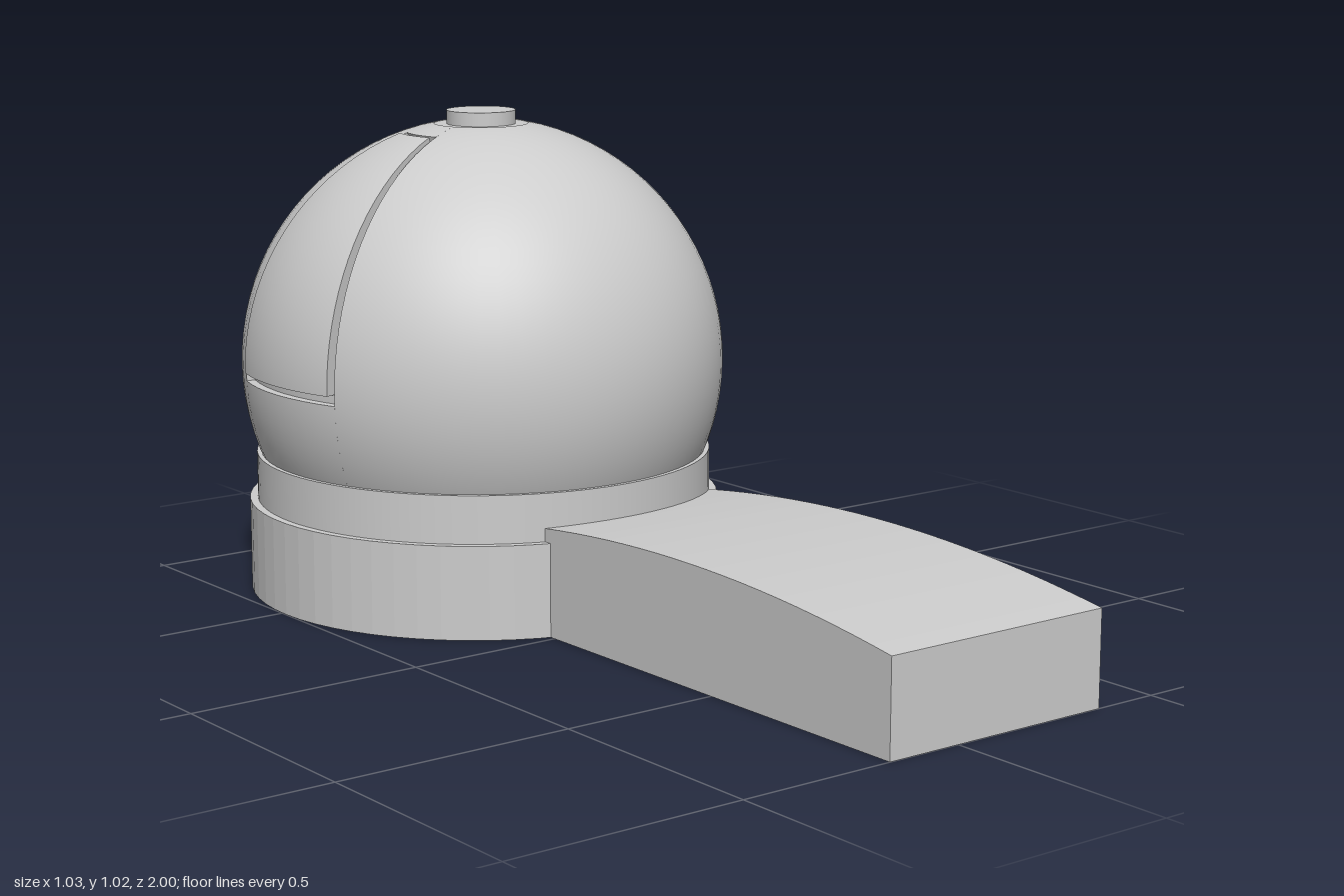
import * as THREE from 'three';

const CX = 0.003, CZ = -0.485; // axis of the round building
const DOME_Y = 0.487, DOME_R = 0.513;

export function createModel() {
  const model = new THREE.Group();
  model.name = 'observatory';
  const grey = new THREE.MeshStandardMaterial({ color: 0xcccccc });
  grey.name = 'light grey';
  const greyFaceted = new THREE.MeshStandardMaterial({ color: 0xcccccc, flatShading: true });
  greyFaceted.name = 'light grey faceted';

  const add = (name, geometry, x, y, z, material = grey) => {
    const mesh = new THREE.Mesh(geometry, material);
    mesh.name = name;
    mesh.position.set(x, y, z);
    model.add(mesh);
    return mesh;
  };

  // Upright cylinder on the building axis, from y0 to y1
  const drum = (name, r, y0, y1, sides, material) =>
    add(name, new THREE.CylinderGeometry(r, r, y1 - y0, sides), CX, (y0 + y1) / 2, CZ, material);

  // Curved solid: a box bent onto a sphere. Angles in degrees, azimuth 0 faces -x, polar 0 is up.
  const shell = (name, az0, az1, pol0, pol1, rIn, rOut) => {
    const g = new THREE.BoxGeometry(1, 1, 1,
      Math.ceil((az1 - az0) / 5), Math.ceil((pol1 - pol0) / 4), 1);
    const p = g.attributes.position;
    const outer = [];
    for (let i = 0; i < p.count; i++) {
      outer.push(g.attributes.normal.getZ(i) > 0.5);
      const az = THREE.MathUtils.degToRad(az0 + (p.getX(i) + 0.5) * (az1 - az0));
      const pol = THREE.MathUtils.degToRad(pol0 + (0.5 - p.getY(i)) * (pol1 - pol0));
      const r = rIn + (p.getZ(i) + 0.5) * (rOut - rIn);
      p.setXYZ(i, -r * Math.cos(az) * Math.sin(pol), r * Math.cos(pol), r * Math.sin(az) * Math.sin(pol));
    }
    g.computeVertexNormals();
    // Radial normals keep the outer skin smooth across neighbouring pieces
    const n = new THREE.Vector3();
    outer.forEach((isOuter, i) => {
      if (!isOuter) return;
      n.fromBufferAttribute(p, i).normalize();
      g.attributes.normal.setXYZ(i, n.x, n.y, n.z);
    });
    add(name, g, CX, DOME_Y, CZ);
  };

  // Round base and the plain ring above it
  drum('base', 0.502, 0, 0.195, 64, greyFaceted);
  drum('ring', 0.485, 0.195, 0.295, 96);

  // Dome with a shutter opening on its right side
  const open = 19.6, openTop = 18.2, openBottom = 92.4, top = 11.2, bottom = 114;
  const inner = 0.49;
  shell('domeBody', open, 360 - open, top, bottom, inner, DOME_R);
  shell('domeAboveShutter', -open, open, top, openTop, inner, DOME_R);
  shell('domeBelowShutter', -open, open, openBottom, bottom, inner, DOME_R);
  shell('shutterRecess', -open, open, openTop, openBottom, inner - 0.01, inner + 0.005);
  shell('shutter', -18, 18, 20, 90.2, inner, 0.519);

  // Flat crown and knob
  drum('crown', 0.1, 0.94, 0.989, 48);
  drum('knob', 0.073, 0.97, 1.018, 48);

  // Entrance wing: side profile with a shallow arched roof, extruded across x
  const x0 = -0.165, x1 = 0.36, zBack = -0.24, zFront = 1;
  const profile = new THREE.Shape();
  profile.moveTo(-zBack, 0);
  profile.lineTo(-zFront, 0);
  const steps = 24;
  for (let i = 0; i <= steps; i++) {
    const z = zFront + (zBack - zFront) * i / steps;
    profile.lineTo(-z, 0.245 - 0.051 * ((z - 0.38) / 0.62) ** 2);
  }
  const wing = new THREE.ExtrudeGeometry(profile, { depth: x1 - x0, bevelEnabled: false });
  wing.rotateY(Math.PI / 2);
  add('entranceWing', wing, x0, 0, 0);

  return model;
}
